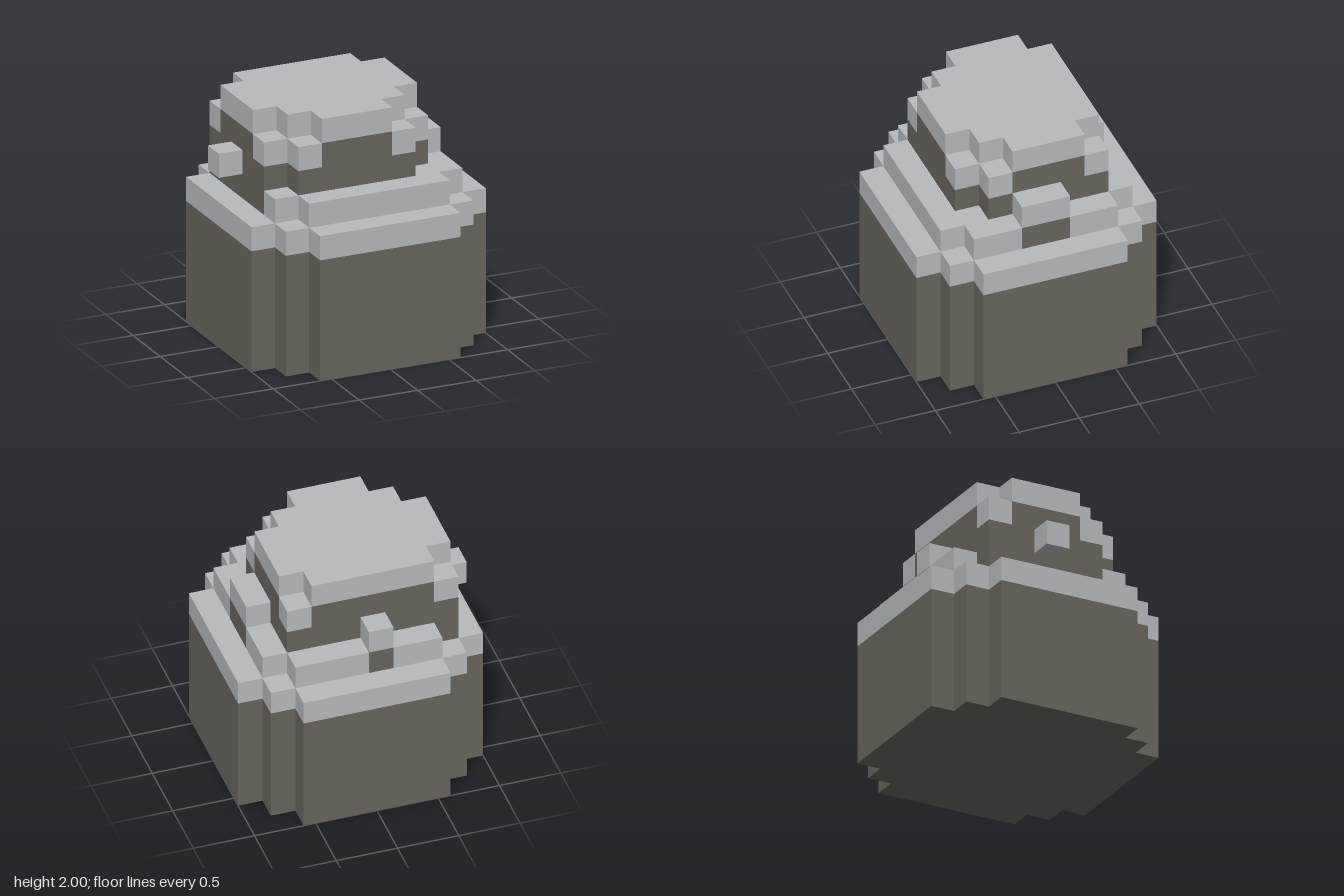
import * as THREE from 'three';

export function createModel() {
  const group = new THREE.Group();
  const stone = new THREE.MeshStandardMaterial({ name: 'warm grey stone', color: 0x69655d });
  const snow = new THREE.MeshStandardMaterial({ name: 'pale grey cap', color: 0xb7bbbe });

  // Flat slab: outline of [x, z] corners, raised from y0 to y1
  function slab(name, outline, y0, y1, material) {
    const shape = new THREE.Shape(outline.map(([x, z]) => new THREE.Vector2(x, -z)));
    const geo = new THREE.ExtrudeGeometry(shape, { depth: y1 - y0, bevelEnabled: false });
    geo.rotateX(-Math.PI / 2).translate(0, y0, 0);
    const mesh = new THREE.Mesh(geo, material);
    mesh.name = name;
    group.add(mesh);
  }

  // Block between two x, y and z limits
  function block(name, [x0, x1], [y0, y1], [z0, z1], material) {
    const mesh = new THREE.Mesh(new THREE.BoxGeometry(x1 - x0, y1 - y0, z1 - z0), material);
    mesh.position.set((x0 + x1) / 2, (y0 + y1) / 2, (z0 + z1) / 2);
    mesh.name = name;
    group.add(mesh);
  }

  // Stepped round base, mirrored into four quarters
  const quarter = [[1, 0.6], [0.8, 0.6], [0.8, 0.8], [0.6, 0.8], [0.6, 1]];
  const flipped = [...quarter].reverse();
  const baseOutline = [
    ...quarter,
    ...flipped.map(([x, z]) => [-x, z]),
    ...quarter.map(([x, z]) => [-x, -z]),
    ...flipped.map(([x, z]) => [x, -z]),
  ];
  slab('base', baseOutline, 0, 1, stone);
  slab('baseRim', baseOutline, 1, 1.2, snow);

  // Upper body, set slightly towards the model's right
  slab('upperBody', [
    [-0.8, -0.6], [0.6, -0.6], [0.6, 0.4], [0.4, 0.4],
    [0.4, 0.6], [-0.6, 0.6], [-0.6, 0.4], [-0.8, 0.4],
  ], 1.2, 1.6, stone);

  // Stepped top: stone neck with a pale roof
  const roofOutline = [
    [-0.4, 0.6], [0.2, 0.6], [0.2, 0.4], [0.4, 0.4], [0.4, 0.2], [0.6, 0.2],
    [0.6, -0.4], [0.4, -0.4], [0.4, -0.6], [-0.6, -0.6], [-0.6, -0.4], [-0.8, -0.4],
    [-0.8, 0.2], [-0.6, 0.2], [-0.6, 0.4], [-0.4, 0.4],
  ];
  slab('neck', roofOutline, 1.6, 1.8, stone);
  slab('roof', roofOutline, 1.8, 2, snow);

  // Pale corner blocks one step below the roof
  const corners = [[-0.6, 0.4], [-0.8, 0.2], [0.2, 0.4], [0.4, 0.2], [-0.8, -0.6], [0.4, -0.6]];
  for (const [x, z] of corners) {
    block('cornerBlock', [x, x + 0.2], [1.6, 1.8], [z, z + 0.2], snow);
  }

  // Pale ledge around the upper body
  const ledge = [
    [[-0.6, 0.6], [0.6, 0.8]],
    [[-0.8, -0.6], [0.4, 0.6]],
    [[0.4, 0.6], [0.4, 0.6]],
    [[0.6, 0.8], [0.2, 0.6]],
    [[0.6, 0.8], [-0.6, -0.2]],
    [[0, 0.6], [-0.8, -0.6]],
    [[-0.6, -0.2], [-0.8, -0.6]],
  ];
  for (const [x, z] of ledge) block('ledge', x, [1.2, 1.4], z, snow);

  // Capped buttresses on the left side and the back
  for (const [x, z] of [[[0.6, 0.8], [-0.2, 0.2]], [[-0.2, 0], [-0.8, -0.6]]]) {
    block('buttress', x, [1.2, 1.4], z, stone);
    block('buttressCap', x, [1.4, 1.6], z, snow);
  }

  // Single knob on the right side
  block('sideKnob', [-1, -0.8], [1.4, 1.6], [-0.2, 0], snow);

  return group;
}
